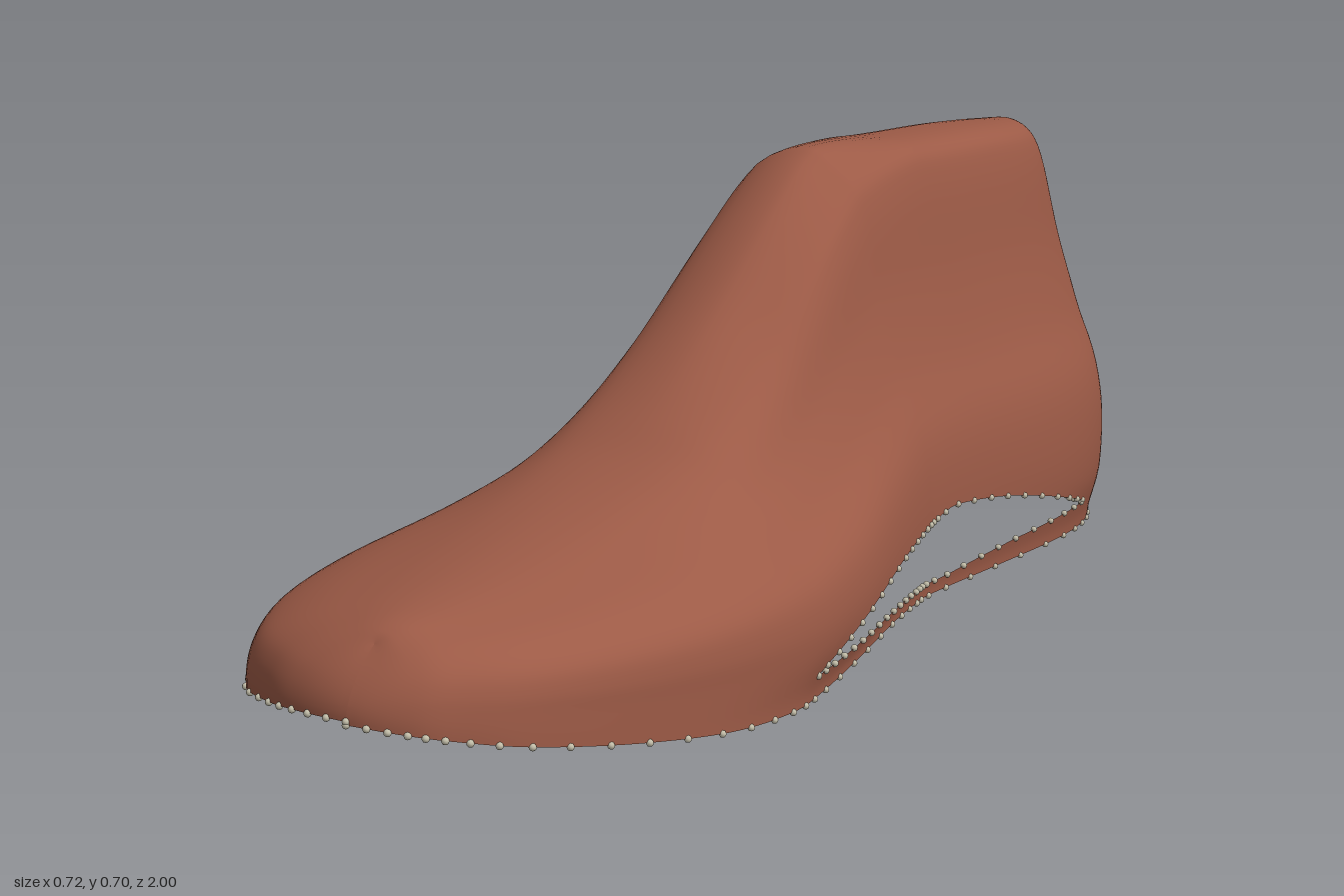
import * as THREE from 'three';
import { mergeGeometries, mergeVertices } from 'three/addons/utils/BufferGeometryUtils.js';

// Stations from toe to heel: z, right edge x, left edge x, ridge x, base y, ridge y, ankle blend
const STATIONS = [
  [1.0, 0.07, 0.07, 0.07, 0.14, 0.225, 0],
  [0.985, -0.015, 0.14, 0.07, 0.135, 0.238, 0],
  [0.95, -0.09, 0.19, 0.07, 0.125, 0.248, 0],
  [0.87, -0.185, 0.25, 0.065, 0.105, 0.255, 0],
  [0.72, -0.275, 0.305, 0.06, 0.075, 0.265, 0],
  [0.55, -0.33, 0.345, 0.05, 0.048, 0.285, 0.05],
  [0.4, -0.355, 0.357, 0.055, 0.033, 0.327, 0.3],
  [0.3, -0.355, 0.352, 0.06, 0.03, 0.385, 0.6],
  [0.15, -0.345, 0.335, 0.07, 0.035, 0.5, 0.9],
  [0.0, -0.315, 0.31, 0.08, 0.043, 0.625, 1],
  [-0.1, -0.3, 0.295, 0.08, 0.045, 0.69, 1],
  [-0.17, -0.29, 0.29, 0.08, 0.045, 0.703, 1],
  [-0.4, -0.265, 0.285, 0.08, 0.032, 0.692, 1],
  [-0.65, -0.25, 0.285, 0.08, 0.022, 0.685, 1],
  [-0.8, -0.225, 0.265, 0.075, 0.016, 0.678, 1],
  [-0.9, -0.165, 0.225, 0.07, 0.013, 0.672, 1],
  [-0.96, -0.085, 0.165, 0.06, 0.012, 0.668, 1],
  [-0.988, -0.02, 0.11, 0.05, 0.012, 0.664, 1],
  [-1.0, 0.045, 0.045, 0.045, 0.012, 0.662, 1],
];

// Half cross-sections from base to ridge: width fraction, height fraction
const FORE = [
  [[1, 0.05], [1, 0.2], [0.98, 0.38], [0.92, 0.55], [0.8, 0.68], [0.62, 0.8], [0.4, 0.9], [0.2, 0.97], [0, 1]],
  [[1, 0], [1, 0.25], [1, 0.42], [0.97, 0.58], [0.88, 0.71], [0.72, 0.82], [0.48, 0.91], [0.24, 0.98], [0, 1]],
];
const ANKLE = [
  [[0.95, 0.01], [1, 0.12], [0.95, 0.25], [0.71, 0.38], [0.5, 0.53], [0.39, 0.7], [0.32, 0.88], [0.23, 0.98], [0, 1]],
  [[0.92, 0], [1, 0.12], [1, 0.25], [0.93, 0.38], [0.74, 0.53], [0.59, 0.7], [0.47, 0.9], [0.34, 0.98], [0, 1]],
];
// Back outline of the heel: z, y
const HEEL = [[-0.97, 0], [-0.99, 0.1], [-1, 0.2], [-0.995, 0.3], [-0.972, 0.4], [-0.94, 0.5], [-0.905, 0.62], [-0.875, 0.67]];

const { lerp, clamp, smoothstep } = THREE.MathUtils;

// Smooth interpolation through the rows of a table, t from 0 to 1;
// "mirror" gives the row that follows each end, so that the ends close roundly
function sample(rows, t, mirror) {
  const n = rows.length - 1;
  const p = clamp(t, 0, 1) * n, i = Math.min(Math.floor(p), n - 1), f = p - i;
  const b = rows[i], c = rows[i + 1];
  const a = i > 0 ? rows[i - 1] : mirror(rows[1]);
  const d = i < n - 1 ? rows[i + 2] : mirror(rows[n - 1]);
  return b.map((v, k) => 0.5 * (2 * v + (c[k] - a[k]) * f
    + (2 * a[k] - 5 * v + 4 * c[k] - d[k]) * f * f
    + (3 * v - a[k] - 3 * c[k] + d[k]) * f * f * f));
}
const mirrorStation = ([z, xr, xl, ...rest]) => [z, xl, xr, ...rest];
const mirrorProfile = ([w, f]) => (f > 0.5 ? [-w, f] : [w, -f]);

function heelZ(y) {
  for (let i = 1; i < HEEL.length; i++) {
    const [z0, y0] = HEEL[i - 1], [z1, y1] = HEEL[i];
    if (y <= y1) return lerp(z0, z1, clamp((y - y0) / (y1 - y0), 0, 1));
  }
  return -0.875;
}

// Point on the surface: station, side (0 = right, 1 = left), s from base to ridge
function surfacePoint(st, side, s) {
  const [z, xr, xl, cx, yb, yt, a] = st;
  const p = sample(FORE[side], s, mirrorProfile), q = sample(ANKLE[side], s, mirrorProfile);
  const w = lerp(p[0], q[0], a), f = lerp(p[1], q[1], a);
  // the instep is more domed than the flat top behind it
  const dome = smoothstep(z, -0.35, -0.05) * (1 - smoothstep(z, 0.1, 0.4));
  const y = lerp(yb, yt, f) - 0.045 * dome * smoothstep(w, 0, 0.45) * f * f;
  let zz = z - 0.06 * f * f * smoothstep(z, 0.6, 1);
  if (z < -0.3) zz = -0.3 + (z + 0.3) * (heelZ(y) + 0.3) / -0.7;
  return new THREE.Vector3(lerp(cx, side ? xl : xr, w), y, zz);
}

// Section parameter at a given height
function paramAt(st, side, y) {
  let lo = 0, hi = 1;
  for (let i = 0; i < 24; i++) {
    const m = (lo + hi) / 2;
    if (surfacePoint(st, side, m).y < y) lo = m; else hi = m;
  }
  return lo;
}

// Lower edge, upper edge and opening of the slots along the arch and round the heel
function slot(z, side) {
  const low = 0.063;
  let gap = 0;
  if (side === 1 && z < 0.33 && z > -0.75) {
    const t = z > -0.2 ? (0.33 - z) / 0.53 : (z + 0.75) / 0.55;
    gap = 0.056 * (t + Math.sin(t * Math.PI / 2));
  }
  const start = side ? -0.95 : -0.975;
  if (z < start) gap = 0.024 * Math.sqrt(Math.min(1, (start - z) / 0.025));
  return [low, low + gap, gap];
}

export function createModel() {
  const group = new THREE.Group();
  const leather = new THREE.MeshStandardMaterial({ color: 0x9c5a46, side: THREE.DoubleSide });
  leather.name = 'reddish brown';
  const pale = new THREE.MeshStandardMaterial({ color: 0xc4bfaa });
  pale.name = 'pale grey';

  const COUNT = 144, BELOW = 4, ABOVE = 34;
  const half = BELOW + ABOVE + 2, cols = half * 2;
  const pos = [], index = [], beads = [];

  for (let i = 0; i <= COUNT; i++) {
    const st = sample(STATIONS, i / COUNT, mirrorStation);
    const sides = [0, 1].map((side) => {
      const [yLow, yHigh, gap] = slot(st[0], side);
      // closed stretches of the seam stay above the rising toe
      const sLow = paramAt(st, side, Math.max(yLow, st[4] + 0.02));
      const sHigh = gap > 0 ? paramAt(st, side, yHigh) : sLow;
      const pts = [];
      for (let k = 0; k <= BELOW; k++) pts.push(surfacePoint(st, side, sLow * k / BELOW));
      for (let k = 0; k <= ABOVE; k++) pts.push(surfacePoint(st, side, lerp(sHigh, 1, k / ABOVE)));
      if (i % 3 === 0) beads.push(pts[0]);
      if (gap > 0 && i % 2 === 0) beads.push(pts[BELOW], pts[BELOW + 1]);
      return pts;
    });
    [...sides[0], ...sides[1].reverse()].forEach((p) => pos.push(p.x, p.y, p.z));
  }
  for (let i = 0; i < COUNT; i++) {
    for (let j = 0; j < cols - 1; j++) {
      // leave the slots open; the two ridge columns coincide
      if (j === BELOW || j === cols - 2 - BELOW || j === half - 1) continue;
      const a = i * cols + j, b = a + cols;
      index.push(a, a + 1, b, a + 1, b + 1, b);
    }
  }

  // Hollow foot-shaped shell, open underneath
  let shell = new THREE.BufferGeometry();
  shell.setAttribute('position', new THREE.Float32BufferAttribute(pos, 3));
  shell.setIndex(index);
  shell = mergeVertices(shell, 1e-4);
  shell.computeVertexNormals();
  const body = new THREE.Mesh(shell, leather);
  body.name = 'footShell';
  group.add(body);

  // Tiny beads along the open edges
  const bead = new THREE.IcosahedronGeometry(0.005, 1);
  const edge = new THREE.Mesh(mergeGeometries(beads.map((p) => bead.clone().translate(p.x, p.y, p.z))), pale);
  edge.name = 'edgeBeads';
  group.add(edge);
  return group;
}
